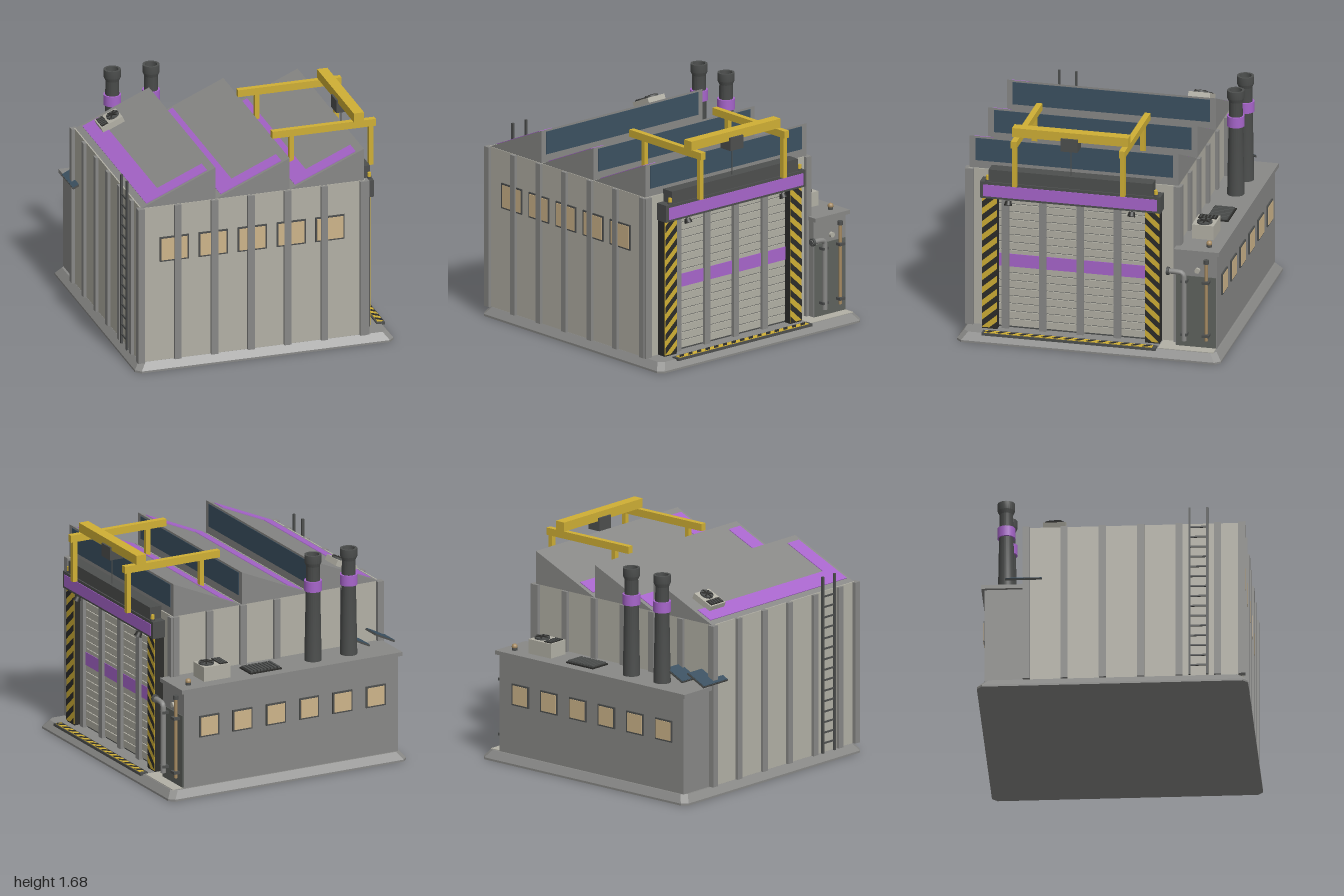
import * as THREE from 'three';
import { toCreasedNormals } from 'three/addons/utils/BufferGeometryUtils.js';
import { ConvexGeometry } from 'three/addons/geometries/ConvexGeometry.js';

const mat = (name, color, side = THREE.FrontSide) => {
  const m = new THREE.MeshStandardMaterial({ color, side });
  m.name = name;
  return m;
};

export function createModel() {
  const M = {
    wall: mat('pale concrete', 0xb2b0a5),
    gray: mat('mid gray', 0x888886),
    dark: mat('dark steel', 0x4d4f4e),
    black: mat('black', 0x2c2c2a),
    panel: mat('green gray panel', 0x5e625d),
    purple: mat('purple paint', 0xa765cb),
    yellow: mat('safety yellow', 0xcfaf35),
    glass: mat('blue glass', 0x3c5161),
    lit: mat('warm window', 0xcdb48a),
    copper: mat('copper', 0xa58a62),
  };
  const model = new THREE.Group();
  model.name = 'factory';
  const group = (name, parent = model) => {
    const g = new THREE.Group();
    g.name = name;
    parent.add(g);
    return g;
  };
  const add = (name, geo, m, parent = model) => {
    const mesh = new THREE.Mesh(geo, m);
    mesh.name = name;
    parent.add(mesh);
    return mesh;
  };
  // box given by its limits on each axis
  const box = (name, m, x0, x1, y0, y1, z0, z1, parent) => {
    const mesh = add(name, new THREE.BoxGeometry(x1 - x0, y1 - y0, z1 - z0), m, parent);
    mesh.position.set((x0 + x1) / 2, (y0 + y1) / 2, (z0 + z1) / 2);
    return mesh;
  };
  const cyl = (name, m, r0, r1, h, x, y, z, parent) => {
    const mesh = add(name, new THREE.CylinderGeometry(r1, r0, h, 20), m, parent);
    mesh.position.set(x, y, z);
    return mesh;
  };

  // Foundation slab with chamfered corners and sloped rim
  const pts = [];
  for (const [y, h] of [[0, 1], [0.015, 1], [0.07, 0.957]])
    for (const sx of [-1, 1]) for (const sz of [-1, 1])
      pts.push(new THREE.Vector3(sx * h, y, sz * (h - 0.04)), new THREE.Vector3(sx * (h - 0.04), y, sz * h));
  add('foundation', new ConvexGeometry(pts), M.gray);
  box('apron', M.wall, 0.78, 0.95, 0.068, 0.074, -0.94, -0.52);

  // Main hall
  const X0 = -0.955, X1 = 0.785, Z0 = -0.635, Z1 = 0.955, TOP = 1.3, STEP = 0.283;
  box('hallWalls', M.wall, X0, X1, 0.07, TOP, Z0, Z1);
  const ribs = group('wallRibs');
  const rib = (x, z, wx, wz, top = TOP) =>
    box('rib', M.gray, x - wx, x + wx, 0.07, top, z - wz, z + wz, ribs);
  for (let i = 0; i < 6; i++) {
    if (i) rib(-0.953 + i * STEP, Z1, 0.026, 0.024);
    rib(0.763 - i * STEP, Z0, 0.026, 0.024);
    if (i) rib(X0, -0.64 + i * STEP, 0.024, 0.026);
    if (i && i < 5) rib(0.805, 0.95 - i * STEP, 0.025, 0.026, 1.12);
  }
  for (const x of [X0, X1 - 0.02]) for (const z of [Z0, Z1]) rib(x, z, 0.026, 0.026);
  rib(X1, Z1 - 0.01, 0.024, 0.03);
  rib(X1, Z0 + 0.005, 0.024, 0.026);

  // Window: dark frame with a lit pane, facing along dir on z
  const wins = group('windows');
  const windowAt = (x, y, z, w, h, dir) => {
    box('windowFrame', M.dark, x - w / 2, x + w / 2, y - h / 2, y + h / 2, z - 0.01, z + 0.01, wins);
    const p = z + dir * 0.011;
    box('windowPane', M.lit, x - w / 2 + 0.012, x + w / 2 - 0.012, y - h / 2 + 0.012, y + h / 2 - 0.012, p - 0.003, p + 0.003, wins);
  };
  for (let i = 0; i < 5; i++) windowAt(-0.695 + i * 0.301, 0.955, Z1, 0.225, 0.195, 1);

  // Sawtooth roof with painted L marks and upright glazing
  const W = 0.57, H = 0.25, slope = Math.atan2(H, W);
  for (let i = 0; i < 3; i++) {
    const t = group('roofTooth');
    t.position.set(-0.945 + i * 0.575, TOP, 0);
    const tri = new THREE.Shape([[0, 0], [W, 0], [W, H]].map(p => new THREE.Vector2(...p)));
    add('toothBody', new THREE.ExtrudeGeometry(tri, { depth: 1.585, bevelEnabled: false }), M.gray, t).position.z = -0.635;
    box('glazing', M.glass, W - 0.004, W + 0.004, 0.06, 0.235, -0.59, 0.905, t);
    const paint = group('roofPaint', t);
    paint.rotation.z = slope;
    const k = 1 / Math.cos(slope);
    box('longMark', M.purple, 0.045 * k, 0.17 * k, -0.002, 0.005, -0.6, 0.925, paint);
    box('footMark', M.purple, 0.17 * k, 0.515 * k, -0.002, 0.005, 0.8, 0.925, paint);
  }

  // Annex along the back
  box('annexWalls', M.gray, -0.94, 0.86, 0.07, 0.81, -0.945, -0.63);
  box('annexRoof', M.gray, -0.967, 0.885, 0.81, 0.84, -0.967, -0.625);
  box('annexEndPanel', M.panel, 0.858, 0.867, 0.075, 0.63, -0.94, -0.637);
  for (let i = 0; i < 6; i++) windowAt(0.65 - i * 0.28, 0.53, -0.947, 0.165, 0.165, -1);

  // Chimneys with a painted band
  const profile = [[0.064, 0.84], [0.05, 1.57], [0.064, 1.6], [0.064, 1.66], [0.046, 1.66], [0.044, 1.5], [0, 1.5]];
  for (const x of [-0.605, -0.305]) {
    const c = group('chimney');
    c.position.set(x, 0, -0.803);
    const lathe = new THREE.LatheGeometry(profile.map(p => new THREE.Vector2(...p)), 24);
    add('stack', toCreasedNormals(lathe, 0.5), M.dark, c);
    cyl('band', M.purple, 0.066, 0.066, 0.08, 0, 1.42, 0, c);
  }

  // Rooftop cooling unit, modelled around the middle of its base
  const cooler = (w, h, d, r) => {
    const g = group('coolingUnit');
    box('casing', M.wall, -w / 2, w / 2, 0, h, -d / 2, d / 2, g);
    box('grille', M.black, -w * 0.44, -w * 0.14, h, h + 0.006, -d * 0.42, d * 0.42, g);
    for (let i = 0; i < 5; i++) {
      const z = d * (-0.32 + i * 0.16);
      box('slat', M.dark, -w * 0.43, -w * 0.15, h + 0.005, h + 0.011, z - 0.004, z + 0.004, g);
    }
    cyl('fan', M.dark, r, r, 0.014, w * 0.21, h + 0.007, 0, g);
    for (let i = 0; i < 3; i++)
      box('fanBlade', M.black, -r * 0.9, r * 0.9, 0.014, 0.018, -0.006, 0.006, group('blade', g)).parent.rotation.y = i * Math.PI / 3;
    g.children.filter(o => o.name === 'blade').forEach(o => o.position.set(w * 0.21, h, 0));
    return g;
  };
  cooler(0.22, 0.11, 0.165, 0.058).position.set(0.535, 0.84, -0.785);
  const tilted = cooler(0.18, 0.045, 0.165, 0.05);
  tilted.position.set(-0.735, TOP + 0.21 * Math.tan(slope), -0.437);
  tilted.rotation.z = slope;

  // Roof vent and small dome on the annex
  box('roofVent', M.black, 0, 0.265, 0.84, 0.85, -0.885, -0.715);
  for (let i = 0; i < 9; i++) box('ventSlat', M.dark, 0.012 + i * 0.028, 0.03 + i * 0.028, 0.85, 0.862, -0.875, -0.725);
  cyl('ventPost', M.dark, 0.02, 0.02, 0.025, 0.78, 0.852, -0.868);
  add('ventDome', new THREE.SphereGeometry(0.022, 16, 10), M.copper).position.set(0.78, 0.868, -0.868);

  // Tilted solar panels
  for (const x of [-0.92, -0.71]) {
    const s = group('solarPanel');
    s.position.set(x, 0.905, -0.655);
    s.rotation.z = 0.45;
    box('panelFrame', M.dark, -0.089, 0.089, -0.008, 0.005, -0.135, 0.135, s);
    box('panelFace', M.glass, -0.085, 0.085, 0.004, 0.009, -0.131, 0.131, s);
  }

  // Diagonal black bands on a yellow plate; runs along +x, height along +y
  const clip = (poly, sign, lim) => poly.flatMap((a, i) => {
    const b = poly[(i + 1) % poly.length], da = sign * (a[0] - lim), db = sign * (b[0] - lim);
    const out = da >= 0 ? [a] : [];
    if (da * db < 0) out.push([lim, a[1] + (b[1] - a[1]) * da / (da - db)]);
    return out;
  });
  const hazard = (len, w, period, lean) => {
    const g = group('hazardStripes');
    box('yellowPlate', M.yellow, 0, len, 0, w, 0, 0.004, g);
    for (let s = -period * 3; s < len + period * 3; s += period) {
      let p = [[s, 0], [s + period / 2, 0], [s + period / 2 + lean, w], [s + lean, w]];
      p = clip(clip(p, 1, 0), -1, len);
      if (p.length < 3) continue;
      const shape = new THREE.Shape(p.map(q => new THREE.Vector2(...q)));
      add('blackBand', new THREE.ShapeGeometry(shape), M.black, g).position.z = 0.006;
    }
    return g;
  };

  // Loading door on the +x side
  box('doorBack', M.dark, 0.78, 0.795, 0.07, 1.12, -0.4, 0.72);
  const door = group('doorSlats');
  for (let i = 0; i < 17; i++)
    box('slat', M.wall, 0.79, 0.805, 0.085 + i * 0.0605, 0.138 + i * 0.0605, -0.4, 0.72, door);
  box('doorStripe', M.purple, 0.8, 0.809, 0.555, 0.655, -0.4, 0.72);
  [[0.72, 0.835, -1], [-0.51, -0.4, 1]].forEach(([z0, z1, dir]) => {
    box('doorPillar', M.black, 0.785, 0.86, 0.07, 1.12, z0, z1);
    const h = hazard(1.03, z1 - z0, 0.104, dir * 0.1);
    h.matrixAutoUpdate = false;
    // run goes up, height goes along +z, face points to +x
    h.matrix.makeBasis(new THREE.Vector3(0, 1, 0), new THREE.Vector3(0, 0, 1), new THREE.Vector3(1, 0, 0)).setPosition(0.86, 0.08, z0);
  });
  box('doorHeader', M.dark, 0.78, 0.888, 1.11, 1.24, -0.525, 0.845);
  box('headerPaint', M.purple, 0.887, 0.893, 1.127, 1.218, -0.5, 0.82);
  box('shutterHousing', M.dark, 0.78, 0.878, 1.24, 1.335, -0.46, 0.78);
  for (const z of [0.79, -0.485]) {
    cyl('beaconBase', M.dark, 0.018, 0.018, 0.015, 0.868, 1.247, z);
    cyl('beacon', M.yellow, 0.015, 0.013, 0.035, 0.868, 1.268, z);
  }
  for (const z of [0.63, -0.305]) {
    cyl('lampArm', M.dark, 0.008, 0.008, 0.05, 0.875, 1.1, z);
    cyl('doorLamp', M.black, 0.03, 0.022, 0.035, 0.887, 1.085, z).rotation.z = 0.45;
  }
  // Striped threshold on the ground
  box('threshold', M.dark, 0.92, 0.985, 0.06, 0.08, -0.51, 0.81);
  const strip = hazard(1.27, 0.046, 0.085, 0.04);
  strip.matrixAutoUpdate = false;
  strip.matrix.makeBasis(new THREE.Vector3(0, 0, 1), new THREE.Vector3(1, 0, 0), new THREE.Vector3(0, 1, 0)).setPosition(0.932, 0.08, -0.48);

  // Gantry crane
  const crane = group('gantryCrane');
  for (const z of [0.565, -0.255]) {
    box('rail', M.yellow, 0.185, 0.985, 1.56, 1.615, z - 0.022, z + 0.022, crane);
    box('innerPost', M.yellow, 0.317, 0.352, 1.3, 1.56, z - 0.018, z + 0.018, crane);
    box('outerPost', M.yellow, 0.932, 0.968, 1.25, 1.56, z - 0.018, z + 0.018, crane);
  }
  box('bridgeBeam', M.yellow, 0.81, 0.89, 1.615, 1.685, -0.28, 0.6, crane);
  box('hoist', M.dark, 0.795, 0.905, 1.54, 1.64, 0.1, 0.228, crane);
  cyl('cable', M.dark, 0.004, 0.004, 0.22, 0.852, 1.44, 0.164, crane);

  // Pipes on the annex end
  const pipes = group('endPipes');
  const path = new THREE.CatmullRomCurve3([[-0.57, 0.67], [-0.64, 0.67], [-0.685, 0.665], [-0.703, 0.645], [-0.705, 0.6], [-0.705, 0.13]]
    .map(([z, y]) => new THREE.Vector3(0.9, y, z)), false, 'catmullrom', 0.3);
  add('bentPipe', new THREE.TubeGeometry(path, 40, 0.02, 12), M.gray, pipes);
  cyl('pipeFlange', M.dark, 0.03, 0.03, 0.02, 0.9, 0.67, -0.585, pipes).rotation.x = Math.PI / 2;
  cyl('copperPipe', M.copper, 0.012, 0.012, 0.63, 0.885, 0.45, -0.87, pipes);
  for (const z of [-0.705, -0.87]) for (const y of [0.18, 0.6])
    box('pipeClamp', M.dark, 0.855, 0.915, y - 0.01, y + 0.01, z - 0.027, z + 0.027, pipes);
  cyl('copperValve', M.dark, 0.02, 0.02, 0.03, 0.885, 0.76, -0.87, pipes);
  cyl('gauge', M.wall, 0.02, 0.02, 0.025, 0.87, 0.68, -0.8, pipes).rotation.z = Math.PI / 2;

  // Wall ladder on the -x side
  const ladder = group('ladder');
  for (const z of [0.57, 0.7]) box('ladderRail', M.dark, -0.985, -0.967, 0.07, 1.42, z - 0.008, z + 0.008, ladder);
  for (let y = 0.14; y < 1.32; y += 0.08) box('rung', M.dark, -0.981, -0.971, y, y + 0.012, 0.57, 0.7, ladder);

  return model;
}
